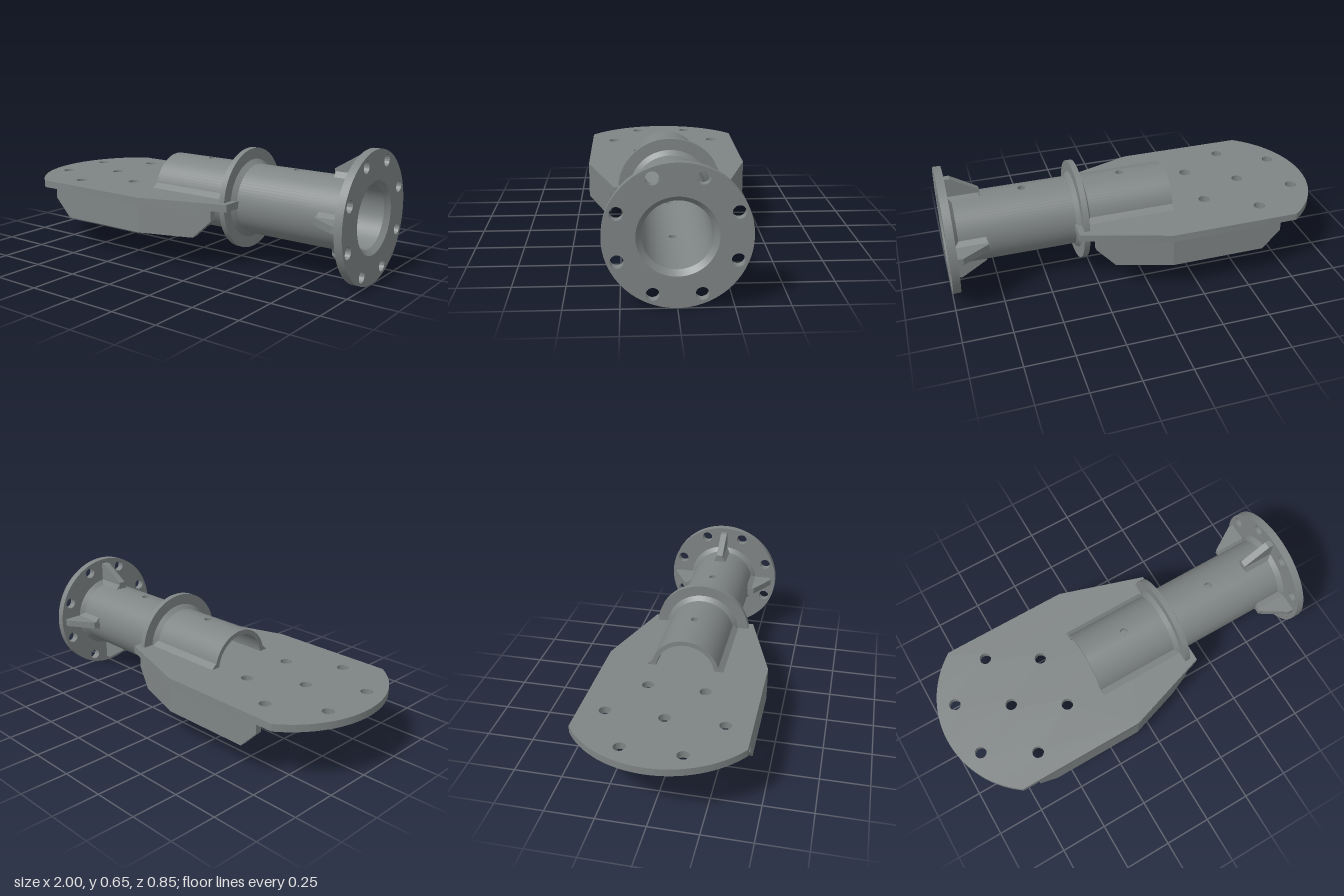
import * as THREE from 'three';
import { toCreasedNormals } from 'three/addons/utils/BufferGeometryUtils.js';
import { ParametricGeometry } from 'three/addons/geometries/ParametricGeometry.js';

const AXIS = 0.327, R = 0.18, BORE = 0.156, TUBE_START = -0.18, TUBE_END = 0.976;
const STRIP = Math.PI / 12; // half angle of the drilled strips along the tube
const V = (pts) => pts.map(([x, y]) => new THREE.Vector2(x, y));

export function createModel() {
  const steel = new THREE.MeshStandardMaterial({ color: 0x7f8484, side: THREE.DoubleSide });
  steel.name = 'grey steel';
  const model = new THREE.Group();
  model.name = 'flangedBracket';
  const pipe = new THREE.Group(); // origin on the tube axis
  pipe.name = 'pipe';
  pipe.position.y = AXIS;
  model.add(pipe);

  const add = (parent, name, geometry) => {
    const mesh = new THREE.Mesh(geometry, steel);
    mesh.name = name;
    parent.add(mesh);
    return mesh;
  };
  const extrude = (shape, depth) => toCreasedNormals(
    new THREE.ExtrudeGeometry(shape, { depth, bevelEnabled: false, curveSegments: 48 }), 0.5);
  const drill = (shape, x, y, r) => shape.holes.push(new THREE.Path().absarc(x, y, r, 0, Math.PI * 2, true));
  // Revolve [x, radius] points around the tube axis
  const revolve = (pts) => toCreasedNormals(
    new THREE.LatheGeometry(V(pts.map(([x, r]) => [r, x])), 72).rotateZ(-Math.PI / 2), 0.5);

  // Plain sides of the tube, outer and inner wall
  const length = TUBE_END - TUBE_START, mid = (TUBE_END + TUBE_START) / 2;
  for (const r of [R, BORE]) for (const start of [0, Math.PI]) {
    const wall = new THREE.CylinderGeometry(r, r, length, 30, 1, true,
      start - Math.PI / 2 + STRIP, Math.PI - 2 * STRIP);
    add(pipe, 'tubeSide', wall.rotateZ(-Math.PI / 2).translate(mid, 0, 0));
  }
  add(pipe, 'tubeEnd', new THREE.RingGeometry(BORE, R, 72).rotateY(-Math.PI / 2).translate(TUBE_START, 0, 0));

  // Top and bottom strips of the tube, each with two drilled holes
  const HOLE = 0.02;
  // Point on a rectangle's edge for a turn t of 0..1, starting at a corner
  const rectEdge = (t, a, b, w) => {
    const s = (t % 1) * 4, k = Math.floor(s), f = s - k;
    return [[b, w * (2 * f - 1)], [b + (a - b) * f, w], [a, w * (1 - 2 * f)], [a + (b - a) * f, -w]][k];
  };
  const drilledPatch = (r, hx, a, b, flip) => new ParametricGeometry((u, v, p) => {
    const t = Math.min(Math.max(v, 0), 0.99999), ang = (t - 0.125) * Math.PI * 2;
    const [ex, ez] = rectEdge(t, a, b, r * Math.sin(STRIP));
    const x = THREE.MathUtils.lerp(hx + HOLE * Math.cos(ang), ex, u);
    const z = THREE.MathUtils.lerp(HOLE * Math.sin(ang), ez, u) * flip;
    p.set(x, Math.sqrt(r * r - z * z), z);
  }, 6, 48);
  const holeWall = (hx) => new ParametricGeometry((u, v, p) => {
    const ang = v * Math.PI * 2, z = -HOLE * Math.sin(ang), r = BORE + (R - BORE) * u;
    p.set(hx + HOLE * Math.cos(ang), Math.sqrt(r * r - z * z), z);
  }, 1, 32);
  for (const turn of [0, Math.PI]) {
    const strip = new THREE.Group();
    strip.name = 'drilledStrip';
    strip.rotation.x = turn;
    pipe.add(strip);
    for (const [hx, a, b] of [[0.06, TUBE_START, 0.305], [0.58, 0.305, TUBE_END]]) {
      add(strip, 'outerWall', drilledPatch(R, hx, a, b, -1));
      add(strip, 'innerWall', drilledPatch(BORE, hx, a, b, 1));
      add(strip, 'holeWall', holeWall(hx));
    }
  }

  // Collar with weld fillets on both sides
  add(pipe, 'collar', revolve([[0.268, R], [0.29, 0.203], [0.29, 0.26], [0.32, 0.26], [0.32, 0.203], [0.342, R]]));

  // End flange with eight bolt holes, chamfered bore and weld
  const disc = new THREE.Shape().absarc(0, 0, 0.327, 0, Math.PI * 2);
  drill(disc, 0, 0, R);
  for (let i = 0; i < 8; i++) {
    const a = (i + 0.5) * Math.PI / 4;
    drill(disc, 0.282 * Math.cos(a), 0.282 * Math.sin(a), 0.03);
  }
  add(pipe, 'flange', extrude(disc, 0.04).rotateY(Math.PI / 2).translate(0.96, 0, 0));
  add(pipe, 'boreChamfer', revolve([[1, R], [TUBE_END, BORE]]));
  add(pipe, 'flangeWeld', revolve([[0.938, R], [0.96, 0.203]]));

  // Four gussets bracing the flange
  const rib = new THREE.Shape(V([[0.795, 0.172], [0.96, 0.172], [0.96, 0.302], [0.932, 0.302], [0.795, 0.217]]));
  const foot = new THREE.Shape(V([[-0.038, 0.174], [0.038, 0.174], [0.018, 0.203], [-0.018, 0.203]]));
  for (let i = 0; i < 4; i++) {
    const gusset = new THREE.Group();
    gusset.name = 'gusset';
    gusset.rotation.x = i * Math.PI / 2;
    pipe.add(gusset);
    add(gusset, 'rib', extrude(rib, 0.036).translate(0, 0, -0.018));
    add(gusset, 'ribWeld', extrude(foot, 0.16).rotateY(Math.PI / 2).translate(0.8, 0, 0));
  }

  // Flat mounting plate with rounded end
  const a = Math.PI - Math.asin(0.425 / 0.52);
  const outline = new THREE.Shape();
  outline.moveTo(0.35, -0.28).lineTo(0.35, 0.28).lineTo(-0.1, 0.425);
  outline.absarc(-0.48, 0, 0.52, a, Math.PI * 2 - a);
  outline.lineTo(-0.1, -0.425);
  for (const [x, z] of [[-0.625, 0], [-0.625, 0.295], [-0.625, -0.295],
    [-0.88, 0.148], [-0.88, -0.148], [-0.37, 0.148], [-0.37, -0.148]]) drill(outline, x, z, 0.03);
  drill(outline, 0.06, 0, HOLE);
  add(model, 'plate', extrude(outline, 0.038).rotateX(Math.PI / 2).translate(0, 0.348, 0));

  // Skirts under the plate edges: a straight part and a part sheared inward
  const T = 0.032, SLOPE = 0.145 / 0.45;
  const straight = new THREE.Shape(V([[-0.69, 0.312], [-0.69, 0.262], [-0.595, 0.165], [-0.1, 0.165], [-0.1, 0.312]]));
  const angled = new THREE.Shape(V([[-0.1, 0.312], [-0.1, 0.165], [0.18, 0.165], [0.272, 0.257], [0.272, 0.312]]));
  for (const side of [1, -1]) {
    const z0 = side * (0.425 - T / 2) - T / 2;
    add(model, 'skirtStraight', extrude(straight, T).translate(0, 0, z0));
    const g = new THREE.ExtrudeGeometry(angled, { depth: T, bevelEnabled: false }).translate(0, 0, z0);
    const p = g.attributes.position;
    for (let i = 0; i < p.count; i++) p.setZ(i, p.getZ(i) - side * SLOPE * (p.getX(i) + 0.1));
    add(model, 'skirtAngled', toCreasedNormals(g, 0.2));

    // Weld fillets where the tube meets the plate, above and below
    for (const [y, up] of [[0.348, 1], [0.31, -1]]) {
      const bead = new THREE.Shape(V([[-side * 0.17, y], [-side * 0.204, y], [-side * 0.176, y + up * 0.024]]));
      add(model, 'plateWeld', extrude(bead, 0.46).rotateY(Math.PI / 2).translate(TUBE_START, 0, 0));
    }
  }
  return model;
}
